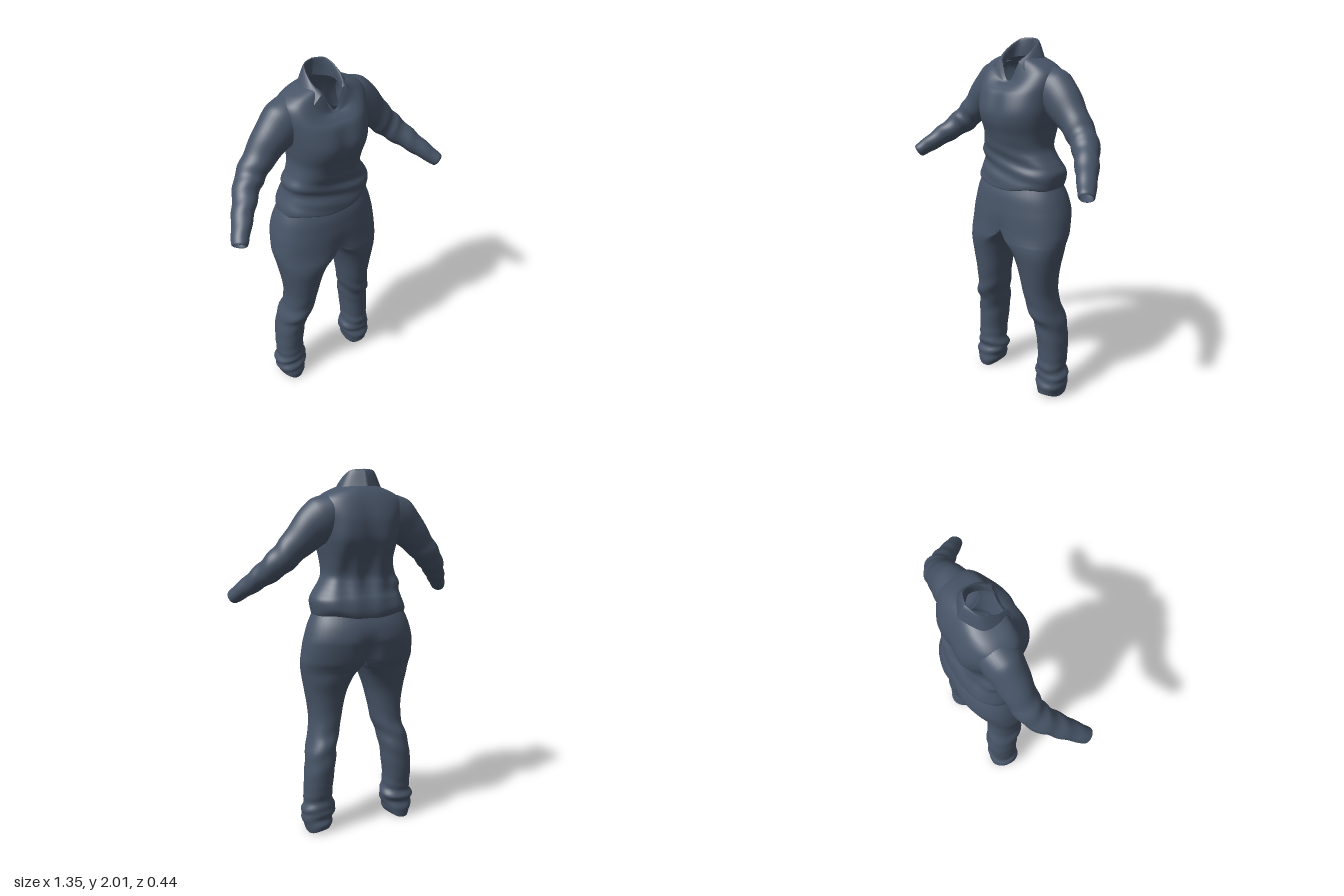
import * as THREE from 'three';

const cloth = new THREE.MeshStandardMaterial({ color: 0x475467, side: THREE.DoubleSide });
cloth.name = 'slate blue cloth';

// Smooth interpolation through rows of numbers, t from 0 to 1
function track(rows, t) {
  const f = t * (rows.length - 1);
  const i = Math.min(Math.floor(f), rows.length - 2), u = f - i;
  const at = (k) => rows[Math.max(0, Math.min(rows.length - 1, k))];
  const [a, b, c, d] = [at(i - 1), at(i), at(i + 1), at(i + 2)];
  return b.map((_, k) => b[k] + 0.5 * u * (c[k] - a[k]
    + u * (2 * a[k] - 5 * b[k] + 4 * c[k] - d[k] + u * (3 * (b[k] - c[k]) + d[k] - a[k]))));
}

// Grid surface from point(t, s); closed grids wrap around in s
function surface(name, nRows, nCols, closed, flip, point) {
  const pos = [], index = [], w = closed ? nCols : nCols + 1;
  for (let r = 0; r <= nRows; r++) {
    for (let c = 0; c < w; c++) pos.push(...point(r / nRows, c / nCols));
  }
  for (let r = 0; r < nRows; r++) {
    for (let c = 0; c < nCols; c++) {
      const a = r * w + c, b = r * w + (c + 1) % w, d = a + w, e = b + w;
      if (flip) index.push(a, d, b, b, d, e);
      else index.push(a, b, d, b, e, d);
    }
  }
  const geo = new THREE.BufferGeometry();
  geo.setAttribute('position', new THREE.Float32BufferAttribute(pos, 3));
  geo.setIndex(index);
  geo.computeVertexNormals();
  const mesh = new THREE.Mesh(geo, cloth);
  mesh.name = name;
  return mesh;
}

const bump = (v, centre, width) => Math.exp(-(((v - centre) / width) ** 2));
const soft = (v, p) => Math.sign(v) * Math.abs(v) ** p;

// Trouser leg with half the pelvis: y, inner x, middle x, outer x, front z, back z
const legRows = [
  [0.01, 0.19, 0.255, 0.32, 0.06, -0.115], [0.05, 0.17, 0.255, 0.335, 0.065, -0.12],
  [0.09, 0.165, 0.255, 0.345, 0.06, -0.11], [0.13, 0.148, 0.25, 0.345, 0.05, -0.12],
  [0.18, 0.165, 0.25, 0.33, 0.055, -0.11], [0.25, 0.17, 0.25, 0.33, 0.05, -0.12],
  [0.35, 0.16, 0.245, 0.325, 0.055, -0.13], [0.45, 0.148, 0.23, 0.315, 0.065, -0.13],
  [0.52, 0.135, 0.22, 0.3, 0.095, -0.12], [0.6, 0.11, 0.195, 0.28, 0.105, -0.1],
  [0.7, 0.09, 0.185, 0.28, 0.12, -0.095], [0.8, 0.065, 0.175, 0.295, 0.135, -0.105],
  [0.88, 0.035, 0.15, 0.31, 0.15, -0.13], [0.93, 0.012, 0.09, 0.32, 0.158, -0.15],
  [0.96, 0, 0.04, 0.325, 0.16, -0.17], [1.0, 0, 0, 0.328, 0.16, -0.195],
  [1.08, 0, 0, 0.32, 0.155, -0.217], [1.13, 0, 0, 0.31, 0.15, -0.224],
  [1.2, 0, 0, 0.288, 0.14, -0.21], [1.27, 0, 0, 0.255, 0.115, -0.175],
  [1.33, 0, 0, 0.22, 0.1, -0.14],
];

function trouserLeg(side) {
  const mesh = surface(side > 0 ? 'leftTrouserLeg' : 'rightTrouserLeg', 110, 48, true, side < 0, (t, s) => {
    const [y, xin, mid, out, zf, zb] = track(legRows, t);
    const a = s * Math.PI * 2, sn = soft(Math.sin(a), 0.9), cs = soft(Math.cos(a), 0.9);
    // Gathered folds at the ankle and knee
    const fold = 1 + 0.05 * bump(y, 0.13, 0.09) * Math.sin(y * 95 + 2 * Math.sin(a + side))
      + 0.03 * bump(y, 0.5, 0.14) * Math.sin(y * 50 + 2.5 * Math.sin(a) + side);
    const x = Math.max(0, mid + sn * (sn > 0 ? out - mid : mid - xin) * fold);
    let z = (zf + zb) / 2 + cs * (zf - zb) / 2 * fold;
    // Cleft at the back and a shallow dip at the front
    if (cs < 0) z += 0.045 * bump(x, 0, 0.045) * bump(y, 1.02, 0.11);
    else z -= 0.02 * bump(x, 0, 0.05) * bump(y, 0.98, 0.08);
    const hem = 0.012 * Math.sin(a * 2 + side) * bump(y, 0, 0.06);
    return [side * x, Math.max(0, y + hem), z];
  });
  // Smooth shading across the centre seam
  const p = mesh.geometry.attributes.position, n = mesh.geometry.attributes.normal;
  for (let i = 0; i < p.count; i++) {
    const l = Math.hypot(n.getY(i), n.getZ(i));
    if (Math.abs(p.getX(i)) < 0.003 && p.getY(i) > 0.97 && l > 0.05) {
      n.setXYZ(i, 0, n.getY(i) / l, n.getZ(i) / l);
    }
  }
  return mesh;
}

// Shirt body: y, right x, left x, front z, back z, drop of the front neckline
const shirtRows = [
  [1.25, -0.235, 0.225, 0.11, -0.165, 0], [1.24, -0.262, 0.25, 0.135, -0.188, 0],
  [1.275, -0.266, 0.268, 0.133, -0.2, 0], [1.33, -0.245, 0.276, 0.122, -0.19, 0],
  [1.37, -0.235, 0.255, 0.117, -0.17, 0], [1.41, -0.24, 0.225, 0.12, -0.157, 0],
  [1.46, -0.215, 0.2, 0.13, -0.152, 0], [1.53, -0.2, 0.203, 0.15, -0.172, 0],
  [1.6, -0.208, 0.215, 0.176, -0.2, 0], [1.66, -0.218, 0.225, 0.18, -0.217, 0],
  [1.74, -0.233, 0.233, 0.155, -0.215, 0], [1.8, -0.243, 0.243, 0.125, -0.2, 0.03],
  [1.85, -0.232, 0.232, 0.1, -0.18, 0.065], [1.885, -0.19, 0.19, 0.085, -0.16, 0.095],
  [1.91, -0.13, 0.13, 0.078, -0.14, 0.115], [1.925, -0.085, 0.085, 0.07, -0.122, 0.125],
];

function shirtBody() {
  return surface('shirtBody', 100, 96, true, false, (t, s) => {
    const [y, xr, xl, zf, zb, drop] = track(shirtRows, t);
    const a = s * Math.PI * 2, sn = soft(Math.sin(a), 0.82), cs = soft(Math.cos(a), 0.82);
    const x = (xr + xl) / 2 + sn * (xl - xr) / 2;
    let z = (zf + zb) / 2 + cs * (zf - zb) / 2;
    if (cs < 0) { // spine hollow and long back folds
      z += 0.022 * bump(x, 0.01, 0.05) * bump(y, 1.6, 0.2);
      z += 0.008 * Math.sin(x * 48 + y * 6) * bump(y, 1.5, 0.18) * -cs;
    } else { // shallow hollow between the breasts and waist creases
      z -= 0.012 * bump(x, 0, 0.045) * bump(y, 1.66, 0.1);
      z += 0.005 * Math.sin(y * 75 + x * 16) * bump(y, 1.36, 0.09) * cs;
    }
    const wave = 0.012 * Math.cos(a * 4) * bump(y, 1.25, 0.04);
    const dip = drop * Math.max(0, Math.cos(a)) ** 6;
    return [x, y - dip - wave, z];
  });
}

// Sleeve: centre x, y, z, radius in the front plane, radius in depth
const sleeveRows = [
  [0.1, 1.815, -0.06, 0.07, 0.08], [0.155, 1.79, -0.06, 0.1, 0.1],
  [0.21, 1.752, -0.055, 0.122, 0.102], [0.28, 1.7, -0.05, 0.106, 0.092],
  [0.36, 1.622, -0.042, 0.084, 0.08], [0.415, 1.565, -0.032, 0.076, 0.076],
  [0.465, 1.515, -0.008, 0.07, 0.072], [0.515, 1.465, 0.04, 0.06, 0.064],
  [0.56, 1.42, 0.09, 0.052, 0.058], [0.605, 1.375, 0.142, 0.044, 0.05],
  [0.638, 1.342, 0.182, 0.038, 0.044], [0.645, 1.335, 0.19, 0.03, 0.034],
];

function sleeve(side) {
  return surface(side > 0 ? 'leftSleeve' : 'rightSleeve', 80, 36, true, side < 0, (t, s) => {
    const [x, y, z, ru, rw] = track(sleeveRows, t);
    const p = track(sleeveRows, Math.max(0, t - 0.02)), q = track(sleeveRows, Math.min(1, t + 0.02));
    const dir = new THREE.Vector3(q[0] - p[0], q[1] - p[1], q[2] - p[2]).normalize();
    const up = new THREE.Vector3(-dir.y, dir.x, 0).normalize();
    const across = dir.clone().cross(up);
    const a = s * Math.PI * 2;
    // Creases around the elbow and forearm
    const fold = 1 + 0.05 * bump(t, 0.6, 0.28) * Math.sin(t * 48 + 2 * Math.sin(a + side));
    const v = new THREE.Vector3(x, y, z)
      .addScaledVector(up, Math.cos(a) * ru * fold)
      .addScaledVector(across, Math.sin(a) * rw * fold);
    return [v.x * side, v.y, v.z];
  });
}

// Folded collar: neck, fold and outer edges from the back centre to the front tip
const collarEdges = [
  [[0, 1.915, -0.118], [0.08, 1.905, -0.05], [0.07, 1.88, 0.03], [0.04, 1.855, 0.066]],
  [[0, 2.0, -0.105], [0.066, 1.992, -0.078], [0.084, 1.945, 0], [0.06, 1.9, 0.06]],
  [[0, 1.99, -0.125], [0.078, 1.98, -0.085], [0.1, 1.935, 0], [0.08, 1.895, 0.07]],
  [[0, 1.92, -0.152], [0.105, 1.915, -0.09], [0.125, 1.888, 0], [0.115, 1.86, 0.068]],
];

function collar() {
  return surface('collar', 18, 48, false, false, (t, s) => {
    const k = 2 * s - 1;
    const [x, y, z] = track(collarEdges.map((edge) => track(edge, Math.abs(k))), t);
    return [Math.sign(k) * x, y, z];
  });
}

export function createModel() {
  const model = new THREE.Group();
  model.name = 'shirtAndTrousers';
  const shirt = new THREE.Group();
  shirt.name = 'shirt';
  shirt.add(shirtBody(), sleeve(1), sleeve(-1), collar());
  const trousers = new THREE.Group();
  trousers.name = 'trousers';
  trousers.add(trouserLeg(1), trouserLeg(-1));
  model.add(shirt, trousers);
  return model;
}
